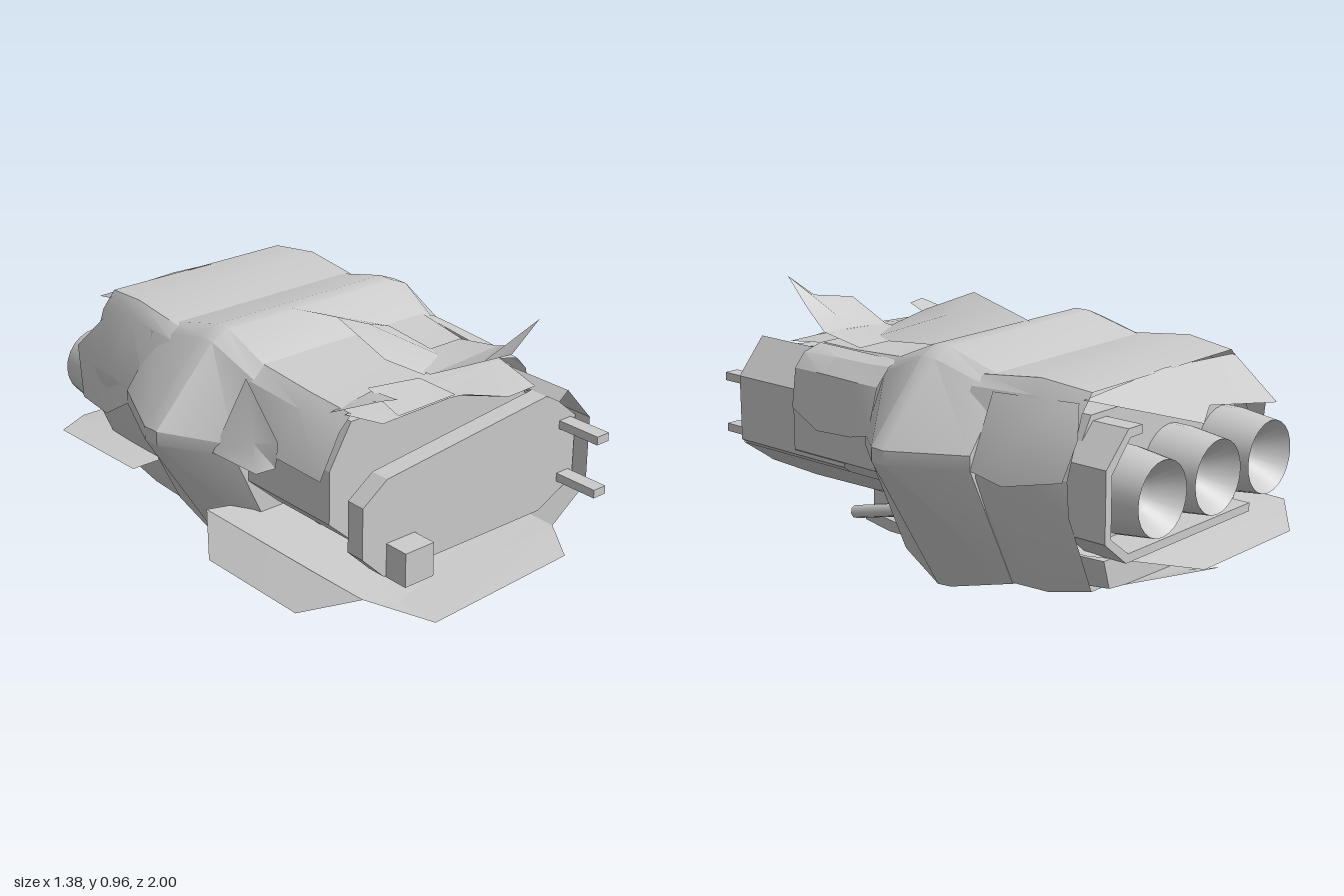
import * as THREE from 'three';
import { toCreasedNormals } from 'three/addons/utils/BufferGeometryUtils.js';

const mat = new THREE.MeshStandardMaterial({ color: 0xcccccc, side: THREE.DoubleSide });

export function createModel() {
  const model = new THREE.Group();

  function add(name, geometry, x = 0, y = 0, z = 0) {
    const mesh = new THREE.Mesh(geometry, mat);
    mesh.name = name;
    mesh.position.set(x, y, z);
    model.add(mesh);
    return mesh;
  }

  // Triangles from a vertex list and index list, creased at sharp edges
  function surface(name, verts, index, crease = 0.45) {
    const g = new THREE.BufferGeometry();
    g.setAttribute('position', new THREE.Float32BufferAttribute(verts.flat(), 3));
    g.setIndex(index);
    return add(name, toCreasedNormals(g, crease));
  }

  // Hull skin through sections [z, [[x, y], ...]], rear to front; caps are optional
  function loft(name, sections, { closed = true, capRear = false, capFront = false } = {}) {
    const n = sections[0][1].length, verts = [], index = [];
    sections.forEach(([z, ring]) => ring.forEach(([x, y]) => verts.push([x, y, z])));
    for (let s = 0; s < sections.length - 1; s++) {
      for (let i = 0; i < (closed ? n : n - 1); i++) {
        const a = s * n + i, b = s * n + (i + 1) % n;
        index.push(a, a + n, b, b, a + n, b + n);
      }
    }
    const last = (sections.length - 1) * n;
    for (let i = 1; i < n - 1; i++) {
      if (capRear) index.push(0, i, i + 1);
      if (capFront) index.push(last, last + i + 1, last + i);
    }
    return surface(name, verts, index);
  }

  // Torn sheet: fan from the centroid, or from a given hub, to its outline
  function sheet(name, pts, hub) {
    const c = hub || [0, 1, 2].map(k => pts.reduce((s, p) => s + p[k], 0) / pts.length);
    const index = pts.flatMap((_, i) => [0, 1 + i, 1 + (i + 1) % pts.length]);
    return surface(name, [c, ...pts], index, 0.6);
  }

  // Mirrors a half section (top to bottom, +x side) into a full ring
  const ring = half => [...half, ...half.slice().reverse().map(([x, y]) => [-x, y])];

  // Flat outline given thickness along z
  function slab(name, pts, z, depth) {
    const shape = new THREE.Shape(pts.map(p => new THREE.Vector2(...p)));
    return add(name, new THREE.ExtrudeGeometry(shape, { depth, bevelEnabled: false }), 0, 0, z);
  }

  // Inner hull
  const core = ring([[0.36, 0.72], [0.45, 0.57], [0.45, 0.38], [0.32, 0.26]]);
  loft('innerHull', [[-0.72, core], [0.55, core]], { capRear: true, capFront: true });

  // Wide hexagonal collar around the middle
  loft('collar', [
    [-0.4, ring([[0.38, 0.78], [0.43, 0.75], [0.57, 0.57], [0.57, 0.52], [0.36, 0.08], [0.29, 0.07], [0.2, 0.09]])],
    [-0.13, ring([[0.37, 0.85], [0.44, 0.82], [0.685, 0.56], [0.685, 0.51], [0.37, 0.005], [0.28, 0.005], [0.2, 0.06]])],
    [-0.07, ring([[0.37, 0.85], [0.44, 0.82], [0.68, 0.56], [0.68, 0.51], [0.37, 0], [0.28, 0], [0.2, 0.06]])],
    [0.13, ring([[0.36, 0.765], [0.41, 0.73], [0.51, 0.53], [0.51, 0.49], [0.32, 0.07], [0.27, 0.06], [0.2, 0.09]])],
  ], { capRear: true, capFront: true });

  // Armour over the forward hull
  loft('forwardRoof', [
    [0.1, [[-0.5, 0.56], [-0.42, 0.73], [-0.36, 0.775], [0.36, 0.775], [0.41, 0.73], [0.46, 0.56]]],
    [0.35, [[-0.49, 0.55], [-0.41, 0.71], [-0.36, 0.755], [0.33, 0.755], [0.4, 0.71], [0.46, 0.56]]],
    [0.54, [[-0.48, 0.54], [-0.4, 0.69], [-0.35, 0.74], [0.31, 0.75], [0.39, 0.69], [0.45, 0.56]]],
  ], { closed: false });
  sheet('roofLip', [[-0.37, 0.74, 0.53], [-0.31, 0.73, 0.645], [-0.03, 0.74, 0.65],
    [0.02, 0.75, 0.68], [0.16, 0.72, 0.735], [0.29, 0.72, 0.73], [0.32, 0.75, 0.53]]);

  // Loose plates on the flanks
  loft('leftFlankPlate', [
    [0.1, [[0.36, 0.765], [0.42, 0.75], [0.48, 0.69], [0.53, 0.53]]],
    [0.2, [[0.36, 0.76], [0.42, 0.745], [0.48, 0.69], [0.515, 0.505]]],
    [0.37, [[0.34, 0.755], [0.41, 0.74], [0.47, 0.69], [0.51, 0.495]]],
    [0.54, [[0.32, 0.75], [0.4, 0.73], [0.445, 0.68], [0.465, 0.54]]],
  ], { closed: false });
  sheet('rightFlankPlate', [[-0.43, 0.74, 0.1], [-0.48, 0.6, 0.33], [-0.5, 0.52, 0.34],
    [-0.55, 0.5, 0.3], [-0.56, 0.5, 0.08]]);

  // Front bulkhead and the open corner of hull skin that still carries it
  slab('frontBulkhead', [[-0.51, 0.37], [-0.42, 0.28], [0.28, 0.28], [0.44, 0.36], [0.44, 0.59],
    [0.31, 0.7], [-0.41, 0.62], [-0.51, 0.55]], 0.71, 0.07);
  const corner = [[0.29, 0.7], [0.33, 0.73], [0.445, 0.6], [0.445, 0.36], [0.3, 0.25]];
  loft('frontCorner', [[0.3, corner], [0.84, corner]], { closed: false });
  add('frontBlock', new THREE.BoxGeometry(0.12, 0.12, 0.1), -0.35, 0.335, 0.82);
  for (const y of [0.575, 0.38]) {
    add('frontProng', new THREE.BoxGeometry(0.055, 0.03, 0.19), 0.39, y, 0.855);
  }

  // Thin keel plate under the nose, with a drooping flap along its right edge
  loft('keelPlate', [
    [0.05, [[-0.57, 0.28], [-0.4, 0.25], [0.3, 0.25], [0.44, 0.35]]],
    [0.6, [[-0.57, 0.28], [-0.4, 0.215], [0.3, 0.24], [0.44, 0.35]]],
    [0.84, [[-0.56, 0.275], [-0.4, 0.205], [0.29, 0.245], [0.44, 0.35]]],
  ], { closed: false });
  loft('keelNose', [
    [0.84, [[-0.56, 0.275], [-0.4, 0.205], [0.29, 0.245]]],
    [1, [[-0.4, 0.205], [-0.4, 0.205], [0.18, 0.235]]],
  ], { closed: false });
  sheet('keelFlap', [[-0.57, 0.28, 0.05], [-0.69, 0.2, 0.22], [-0.69, 0.2, 0.67], [-0.56, 0.275, 0.84]]);

  // Belly armour between the collar feet
  loft('belly', [
    [-0.78, ring([[0.36, 0.25], [0.33, 0.15], [0.16, 0.13], [0, 0.13]])],
    [-0.4, ring([[0.4, 0.25], [0.32, 0.1], [0.16, 0.08], [0, 0.08]])],
    [0.13, ring([[0.29, 0.13], [0.27, 0.09], [0.17, 0.06], [0, 0.04]])],
    [0.3, ring([[0.24, 0.12], [0.23, 0.07], [0.16, 0.05], [0, 0.015]])],
    [0.46, ring([[0.2, 0.11], [0.19, 0.07], [0.1, 0.045], [0, 0.035]])],
  ], { capRear: true, capFront: true });
  sheet('bellyScrap', [[-0.24, 0.25, 0.48], [-0.22, 0.1, 0.57], [-0.2, 0.06, 0.3], [-0.25, 0.25, 0.15]]);

  // Sloping barrels under the nose
  for (const s of [-1, 1]) {
    add('barrelMount', new THREE.BoxGeometry(0.1, 0.1, 0.19), s * 0.24, 0.215, 0.22);
    for (const x of [0.185, 0.3]) {
      const path = new THREE.LineCurve3(new THREE.Vector3(s * x, 0.215, 0.1), new THREE.Vector3(s * x, 0.14, 0.4));
      add('barrel', new THREE.TubeGeometry(path, 1, 0.024, 8));
      const tip = add('barrelTip', new THREE.CircleGeometry(0.024, 8), s * x, 0.14, 0.4);
      tip.rotation.x = 0.245;
    }
  }

  // Rear shell, open at the back, with a ragged roof edge
  loft('rearShell', [
    [-0.74, ring([[0.38, 0.8], [0.43, 0.74], [0.5, 0.54], [0.49, 0.42], [0.37, 0.14]])],
    [-0.55, ring([[0.4, 0.82], [0.44, 0.77], [0.53, 0.56], [0.52, 0.48], [0.36, 0.09]])],
    [-0.3, ring([[0.4, 0.79], [0.45, 0.76], [0.56, 0.56], [0.56, 0.5], [0.36, 0.08]])],
  ]);
  sheet('rearRoof', [[-0.41, 0.78, -0.73], [-0.28, 0.68, -0.99], [0.02, 0.72, -0.93], [0.12, 0.69, -0.98],
    [0.41, 0.78, -0.73]], [0, 0.805, -0.73]);
  sheet('rearLeftPlate', [[0.46, 0.76, -0.4], [0.42, 0.77, -0.72], [0.5, 0.68, -0.78], [0.55, 0.55, -0.76],
    [0.58, 0.5, -0.54], [0.57, 0.52, -0.4]], [0.53, 0.65, -0.55]);
  sheet('rearRightPlate', [[-0.45, 0.76, -0.4], [-0.43, 0.74, -0.7], [-0.51, 0.6, -0.8], [-0.51, 0.4, -0.78],
    [-0.53, 0.4, -0.6], [-0.57, 0.52, -0.4]]);

  // Rear keel plate and a smaller scrap beneath it
  sheet('rearKeel', [[-0.56, 0.26, -0.4], [-0.56, 0.25, -0.86], [-0.38, 0.21, -1], [0.12, 0.21, -1],
    [0.4, 0.27, -0.74], [0.4, 0.27, -0.4]]);
  sheet('rearScrap', [[-0.18, 0.13, -0.77], [-0.1, 0.12, -0.87], [0, 0.18, -0.98], [0.1, 0.18, -0.94], [0.27, 0.14, -0.77]]);

  // Bent frame that shields the engines on the left and from below
  slab('engineFrame', [[0.28, 0.7], [0.35, 0.7], [0.46, 0.59], [0.46, 0.35], [0.35, 0.26], [-0.34, 0.26],
    [-0.34, 0.29], [0.34, 0.29], [0.43, 0.36], [0.43, 0.57], [0.34, 0.67], [0.28, 0.67]], -0.86, 0.16);

  // Three engine nozzles with shallow dished ends
  const bell = [[0, 0.12], [0.06, 0.09], [0.128, 0], [0.145, 0.14], [0.145, 0.24]]
    .map(p => new THREE.Vector2(...p));
  for (const x of [-0.36, -0.058, 0.245]) {
    const nozzle = add('engineNozzle', toCreasedNormals(new THREE.LatheGeometry(bell, 24), 0.9), x, 0.46, -0.92);
    nozzle.rotation.x = Math.PI / 2;
  }

  // Torn sheets peeled off the roof
  sheet('peeledDome', [[-0.09, 0.85, -0.09], [-0.12, 0.91, 0.2], [-0.1, 0.82, 0.42], [0, 0.765, 0.5],
    [0.18, 0.75, 0.45], [0.18, 0.78, 0.13]], [0.02, 0.85, 0.2]);
  loft('peeledFin', [
    [0.34, [[0.02, 0.76], [0.18, 0.76], [0.32, 0.76]]],
    [0.52, [[0.01, 0.77], [0.17, 0.78], [0.32, 0.79]]],
  ], { closed: false });
  sheet('peeledFinTip', [[0.01, 0.77, 0.52], [0.02, 0.85, 0.68], [0.16, 0.87, 0.74], [0.29, 0.96, 0.735],
    [0.27, 0.85, 0.66], [0.32, 0.79, 0.52]], [0.16, 0.81, 0.62]);
  sheet('peeledFlap', [[-0.22, 0.77, 0.47], [-0.02, 0.76, 0.5], [0, 0.745, 0.65], [-0.24, 0.735, 0.64]]);
  sheet('cornerFlap', [[-0.39, 0.735, 0.48], [-0.3, 0.8, 0.63], [-0.24, 0.79, 0.635], [-0.2, 0.755, 0.47]]);

  return model;
}
